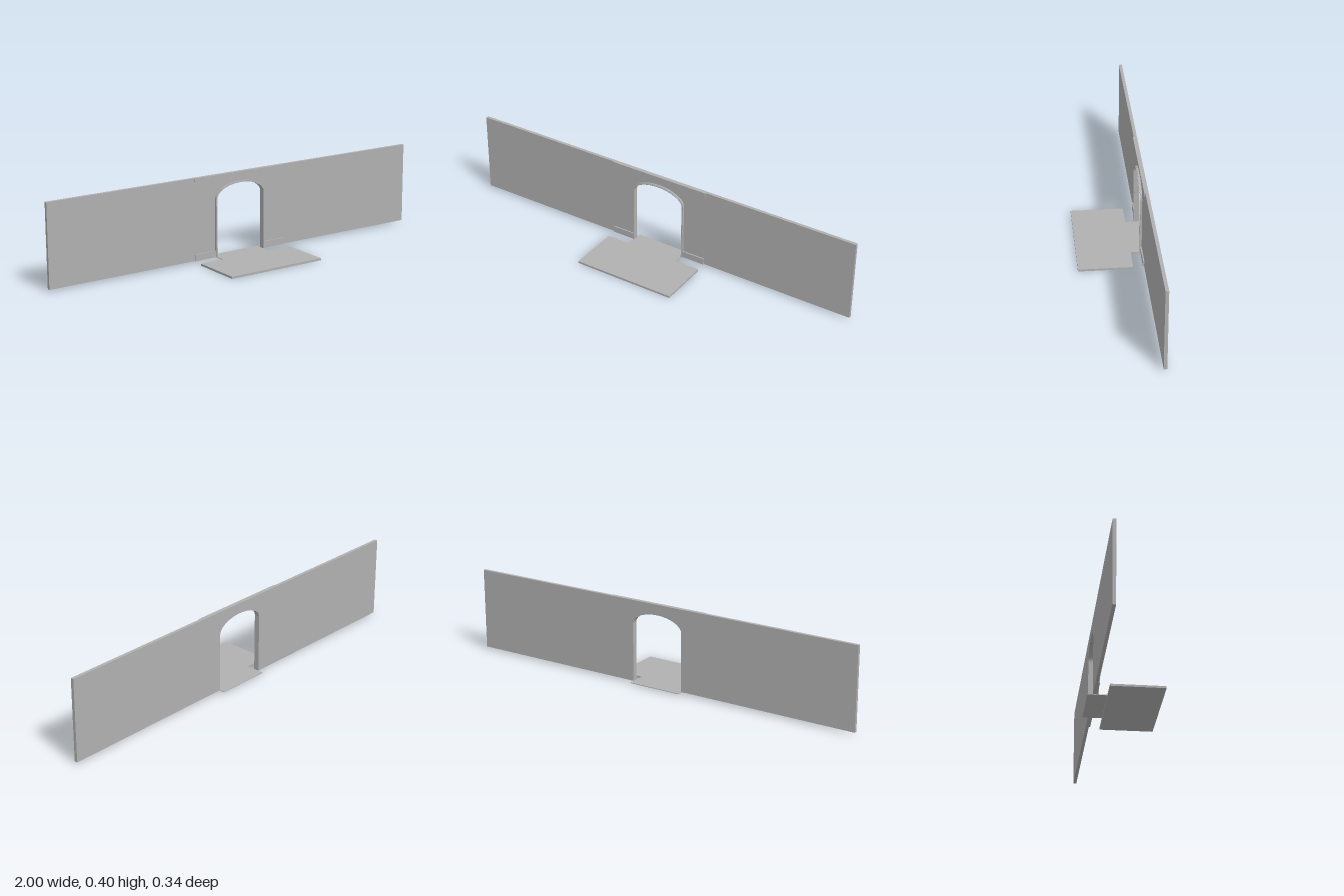
import * as THREE from 'three';

const HALF = 0.13, SPRING = 0.287, RISE = 0.063, BASE = 0.01;
const WALL_BACK = -0.145, WALL_FRONT = -0.13;

// Outline of the doorway with an elliptical head, grown outward by g
function archPoints(g) {
  const pts = [new THREE.Vector2(HALF + g, BASE)];
  for (let i = 0; i <= 32; i++) {
    const a = (i / 32) * Math.PI;
    pts.push(new THREE.Vector2(Math.cos(a) * (HALF + g), SPRING + Math.sin(a) * (RISE + g)));
  }
  pts.push(new THREE.Vector2(-HALF - g, BASE));
  return pts;
}

export function createModel() {
  const model = new THREE.Group();
  const plaster = new THREE.MeshStandardMaterial({ color: 0xb0b0b0 });
  plaster.name = 'plainGrey';

  const add = (name, geometry) => {
    const mesh = new THREE.Mesh(geometry, plaster);
    mesh.name = name;
    model.add(mesh);
    return mesh;
  };
  const block = (name, x0, x1, y0, y1, z0, z1) =>
    add(name, new THREE.BoxGeometry(x1 - x0, y1 - y0, z1 - z0))
      .position.set((x0 + x1) / 2, (y0 + y1) / 2, (z0 + z1) / 2);

  // Long wall, its outline running around the doorway
  const wall = new THREE.Shape([
    new THREE.Vector2(1, BASE), new THREE.Vector2(1, 0.4),
    new THREE.Vector2(-1, 0.4), new THREE.Vector2(-1, BASE),
    ...archPoints(0).reverse(),
  ]);
  add('wall', new THREE.ExtrudeGeometry(wall, { depth: WALL_FRONT - WALL_BACK, bevelEnabled: false }))
    .position.z = WALL_BACK;

  // Door casing in two steps, the front one slimmer
  const casing = (name, outer, inner, z0, z1) => {
    const shape = new THREE.Shape([...archPoints(outer), ...archPoints(inner).reverse()]);
    add(name, new THREE.ExtrudeGeometry(shape, { depth: z1 - z0, bevelEnabled: false })).position.z = z0;
  };
  casing('doorCasing', 0.007, 0, WALL_FRONT, -0.122);
  casing('doorCasingBead', 0.0045, 0.0005, -0.122, -0.1185);

  // Skirting beside the doorway and the cornice above it
  block('skirtingLeft', HALF + 0.007, 0.25, BASE, 0.041, WALL_FRONT, -0.124);
  block('skirtingRight', -0.25, -HALF - 0.007, BASE, 0.041, WALL_FRONT, -0.124);
  block('cornice', -0.25, 0.25, 0.382, 0.4, WALL_FRONT, -0.1255);

  // Floor slab and the thin threshold through the doorway
  block('floor', -0.25, 0.25, 0, 0.01, -0.08, 0.17);
  block('threshold', -HALF, HALF, 0.007, 0.01, -0.17, -0.08);

  return model;
}
